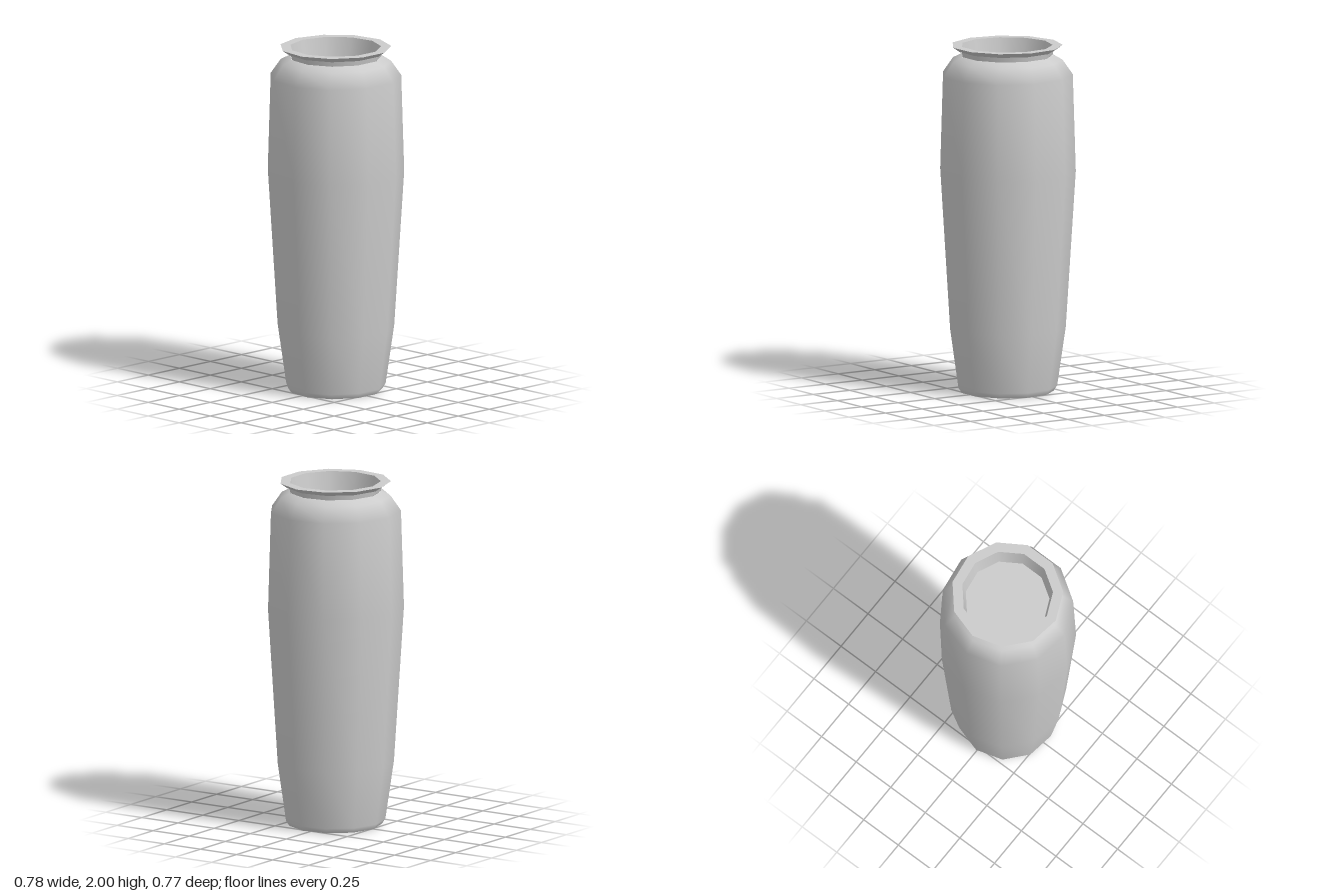
import * as THREE from 'three';

const SIDES = 11;

export function createModel() {
  const vase = new THREE.Group();
  vase.name = 'vase';
  const material = new THREE.MeshStandardMaterial({ color: 0xcccccc });

  // Turned band with a corner at the back; profile points are [radius, height]
  function addBand(name, profile) {
    const points = profile.map(([r, y]) => new THREE.Vector2(r, y));
    const mesh = new THREE.Mesh(new THREE.LatheGeometry(points, SIDES, Math.PI), material);
    mesh.name = name;
    mesh.position.z = 0.008; // odd side count: centre the outline on z
    vase.add(mesh);
  }

  // Base and its small bevel
  addBand('base', [[0, 0], [0.268, 0]]);
  // Smooth body from foot to shoulder
  addBand('body', [
    [0.268, 0], [0.288, 0.03], [0.337, 0.37], [0.394, 1.27],
    [0.377, 1.83], [0.318, 1.915], [0.264, 1.942],
  ]);
  // Short neck and flared lip, each with sharp edges
  addBand('neck', [[0.262, 1.942], [0.268, 1.972]]);
  addBand('lipUnderside', [[0.268, 1.972], [0.28, 1.972]]);
  addBand('lipFlare', [[0.28, 1.972], [0.32, 2]]);
  addBand('lipTop', [[0.32, 2], [0.262, 2]]);
  // Shallow recess inside the mouth
  addBand('mouthWall', [[0.262, 2], [0.242, 1.89]]);
  addBand('mouthFloor', [[0.242, 1.89], [0, 1.89]]);

  return vase;
}
